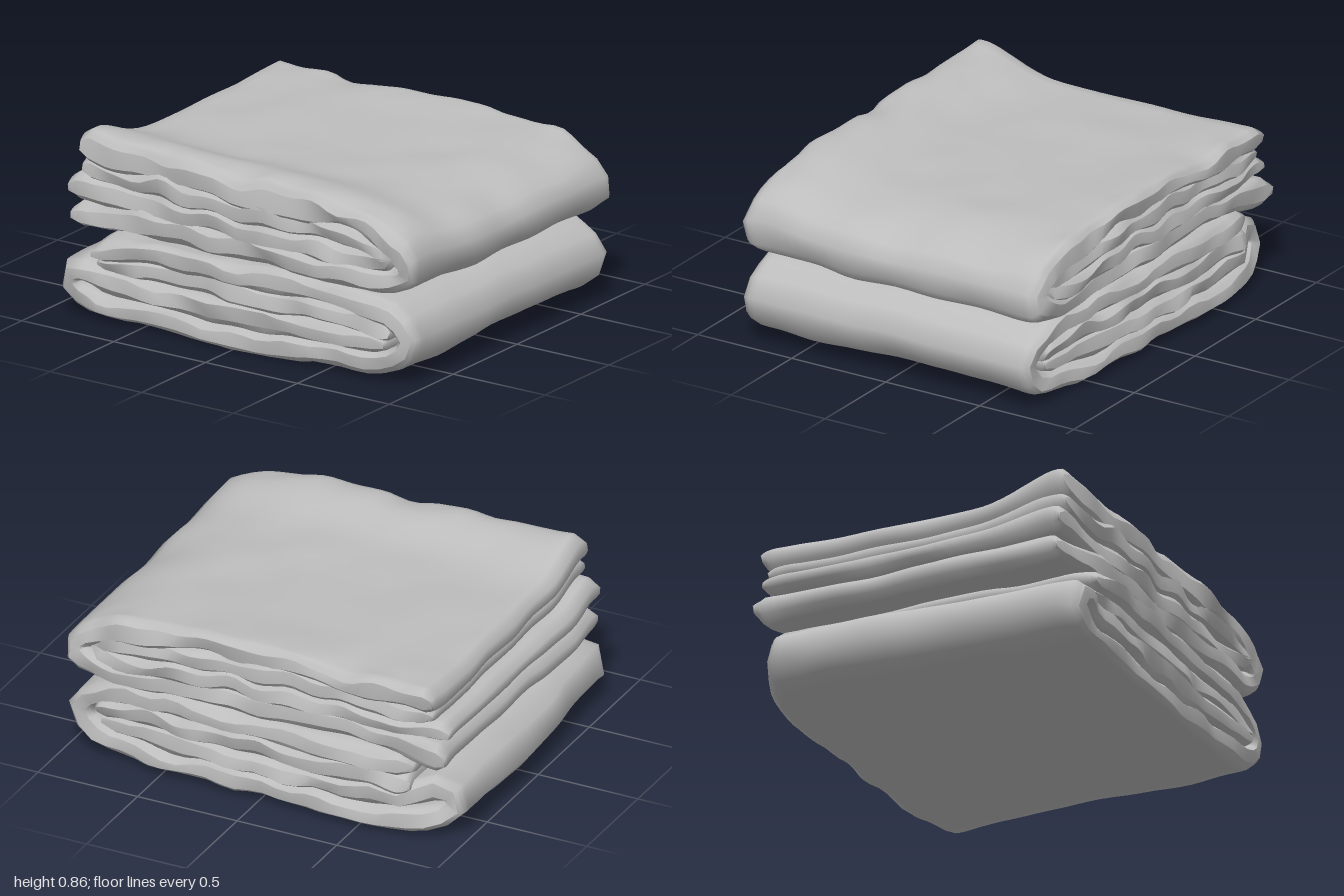
import * as THREE from 'three';

const cloth = new THREE.MeshStandardMaterial({ color: 0xbdbdbd });
cloth.name = 'grey cloth';

const clamp = THREE.MathUtils.clamp;

// Smooth 3D value noise in -1..1
function hash(x, y, z) {
  const s = Math.sin(x * 127.1 + y * 311.7 + z * 74.7) * 43758.5453;
  return (s - Math.floor(s)) * 2 - 1;
}
function noise(x, y, z) {
  const i = [Math.floor(x), Math.floor(y), Math.floor(z)];
  const f = [x - i[0], y - i[1], z - i[2]].map((t) => t * t * (3 - 2 * t));
  let sum = 0;
  for (let c = 0; c < 8; c++) {
    const a = c & 1, b = (c >> 1) & 1, d = c >> 2;
    sum += hash(i[0] + a, i[1] + b, i[2] + d) *
      (a ? f[0] : 1 - f[0]) * (b ? f[1] : 1 - f[1]) * (d ? f[2] : 1 - f[2]);
  }
  return sum;
}

// Thickness factor that rounds off an edge over radius r, down to a blunt lip
function roundOff(d, r) {
  const t = 1 - clamp(d / r, 0, 1);
  return Math.max(0.5, Math.sqrt(1 - t * t));
}

// A thick sheet: a folded centre line in xy, swept along z, with rounded and wrinkled edges
function sheet(name, { path, thick, front, back, seed, warp }) {
  const N = 76, M = 34, R = 2 * (N + 1);
  const curve = new THREE.CatmullRomCurve3(path.map(([x, y]) => new THREE.Vector3(x, y, 0)));
  const len = curve.getLength();
  const pts = curve.getSpacedPoints(N);
  const pos = [], index = [];

  for (let k = 0; k <= M; k++) {
    const u = (k / M) * 2 - 1;
    const t = 0.5 + 0.5 * u * (1.5 - 0.5 * u * u);
    for (let j = 0; j < R; j++) {
      const i = j <= N ? j : R - 1 - j;
      const side = j <= N ? 1 : -1;
      const p = pts[i], a = pts[Math.max(0, i - 1)], b = pts[Math.min(N, i + 1)];
      const l = Math.hypot(b.x - a.x, b.y - a.y);
      const zf = front(p.x), zb = back(p.x);
      const z = zb + (zf - zb) * t;
      const dEnd = Math.min(zf - z, z - zb);
      const h = 0.5 * thick * side * roundOff(dEnd, 0.045) *
        roundOff((Math.min(i, N - i) / N) * len, 0.05);
      const v = new THREE.Vector3(p.x - ((b.y - a.y) / l) * h, p.y + ((b.x - a.x) / l) * h, z);
      // Broad dents over the faces, stronger creases near the open edges
      const edge = clamp(1 - dEnd / 0.15, 0, 1);
      const q = [v.x * 4.5, v.y * 4.5, v.z * 4.5];
      const n1 = noise(...q), n2 = noise(q[0] + 31, q[1], q[2]), n3 = noise(q[0], q[1] + 17, q[2]);
      const crease = noise(v.x * 7 + seed, v.y * 11, v.z * 5 + seed);
      const ruffle = noise(v.x * 6, v.y * 14 + seed, 3);
      v.x += 0.014 * n2;
      v.y += 0.014 * n1 + 0.024 * edge * crease;
      v.z += 0.008 * n3 + 0.02 * edge * ruffle;
      warp(v);
      pos.push(v.x, v.y, v.z);
    }
  }
  // Skin
  for (let k = 0; k < M; k++) {
    for (let j = 0; j < R; j++) {
      const a = k * R + j, c = k * R + ((j + 1) % R);
      index.push(a, a + R, c, a + R, c + R, c);
    }
  }
  // End caps
  for (let i = 0; i < N; i++) {
    const P = i, Q = R - 1 - i, o = M * R;
    index.push(o + P, o + Q, o + Q - 1, o + P, o + Q - 1, o + P + 1);
    index.push(P, Q - 1, Q, P, P + 1, Q - 1);
  }
  const geo = new THREE.BufferGeometry();
  geo.setAttribute('position', new THREE.Float32BufferAttribute(pos, 3));
  geo.setIndex(index);
  geo.computeVertexNormals();
  const mesh = new THREE.Mesh(geo, cloth);
  mesh.name = name;
  return mesh;
}

// Upper blanket swells along its front edge, mostly at the left corner
function upperWarp(v) {
  const w = clamp((v.y - 0.45) / 0.3, 0, 1);
  const swell = Math.exp(-(((v.z - 0.64) / 0.2) ** 2));
  v.y += w * (swell * (0.075 - 0.025 * v.x) + 0.02 * clamp(-v.z, 0, 1));
}

// Lower blanket tucks in at its front left corner and lies flat on the ground
function lowerWarp(v) {
  const w = clamp((-v.x - 0.7) / 0.2, 0, 1);
  v.x += w * 0.06 * clamp(v.z / 0.8, 0, 1);
  v.y += 0.02 * clamp(-v.z, 0, 1) * clamp(1 - v.y / 0.4, 0, 1);
  v.y = Math.max(0, v.y);
}

// Back edge of the lower blanket bows out and is cut away at the left corner
const lowerBack = (x) => -0.815 + 0.05 * (x + 0.3) ** 2 + 0.09 * clamp((-x - 0.7) / 0.25, 0, 1);

export function createModel() {
  const model = new THREE.Group();
  model.name = 'foldedBlankets';

  const upper = new THREE.Group();
  upper.name = 'upperBlanket';
  upper.add(
    sheet('upperOuterFold', {
      path: [[-0.875, 0.69], [-0.4, 0.69], [0.2, 0.69], [0.62, 0.68], [0.84, 0.62], [0.935, 0.54],
        [0.85, 0.465], [0.6, 0.46], [0, 0.465], [-0.55, 0.47], [-0.78, 0.44], [-0.94, 0.425]],
      thick: 0.118, seed: 3, warp: upperWarp,
      front: (x) => 0.755 + 0.035 * x, back: (x) => -0.79 + 0.012 * x,
    }),
    sheet('upperInnerFold', {
      path: [[-0.86, 0.622], [-0.3, 0.622], [0.3, 0.62], [0.7, 0.61], [0.84, 0.565],
        [0.7, 0.53], [0.2, 0.545], [-0.4, 0.545], [-0.75, 0.54], [-0.94, 0.54]],
      thick: 0.1, seed: 11, warp: upperWarp,
      front: (x) => 0.75 + 0.03 * x, back: (x) => -0.8 + 0.03 * x * x,
    }),
  );

  const lower = new THREE.Group();
  lower.name = 'lowerBlanket';
  lower.add(
    sheet('lowerOuterFold', {
      path: [[-0.77, 0.335], [-0.4, 0.35], [0.1, 0.355], [0.6, 0.355], [0.84, 0.31], [0.935, 0.21],
        [0.85, 0.11], [0.6, 0.07], [0, 0.062], [-0.5, 0.062], [-0.8, 0.07], [-0.92, 0.12],
        [-0.94, 0.19], [-0.86, 0.225], [-0.7, 0.185], [-0.2, 0.165], [0.3, 0.165], [0.82, 0.185]],
      thick: 0.114, seed: 23, warp: lowerWarp,
      front: (x) => 0.8 - 0.02 * x, back: lowerBack,
    }),
    sheet('lowerInnerFold', {
      path: [[-0.76, 0.265], [-0.3, 0.265], [0.2, 0.265], [0.6, 0.265], [0.84, 0.24]],
      thick: 0.12, seed: 37, warp: lowerWarp,
      front: () => 0.785, back: lowerBack,
    }),
  );
  model.add(upper, lower);
  return model;
}
